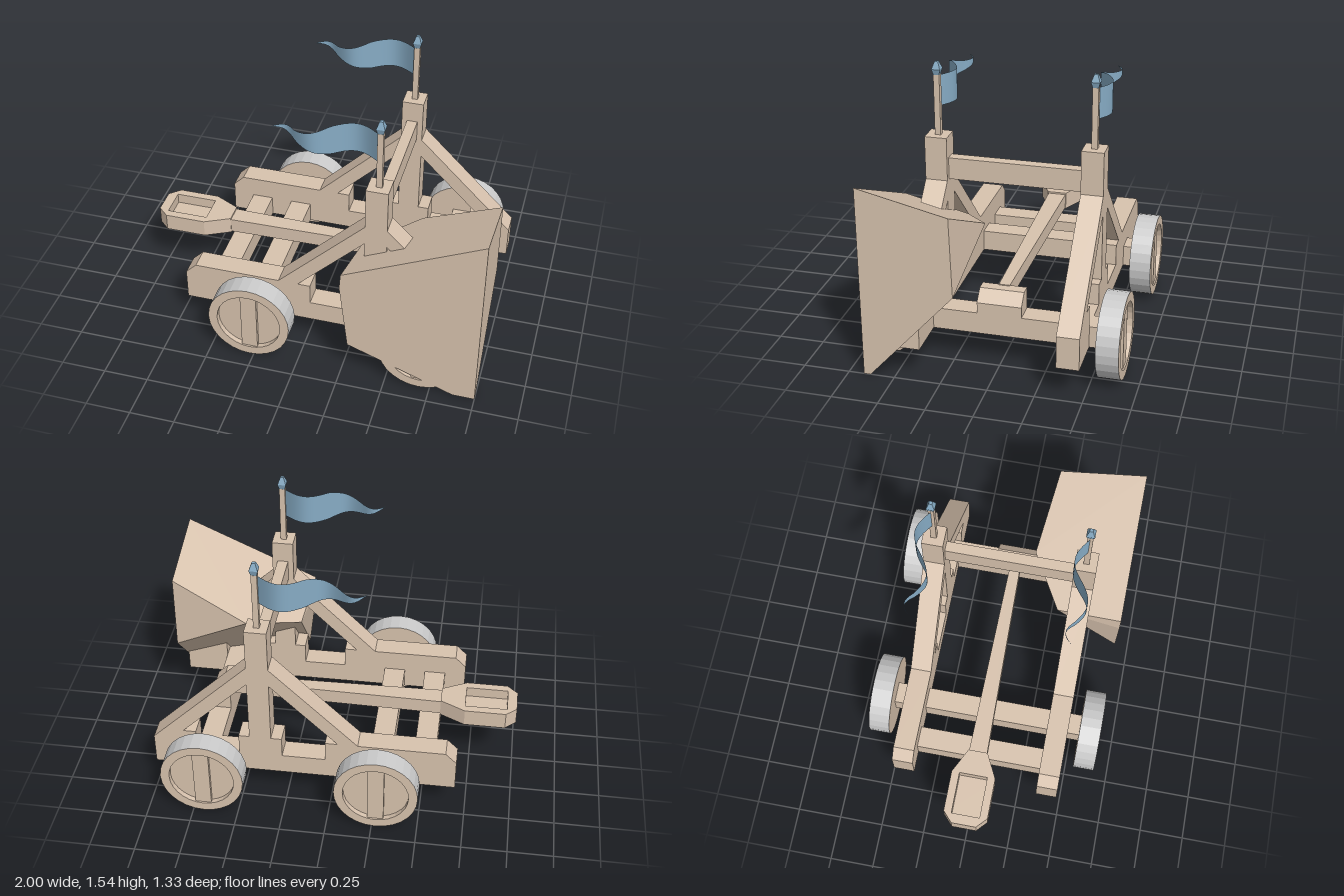
import * as THREE from 'three';
import { ConvexGeometry } from 'three/addons/geometries/ConvexGeometry.js';

const mat = (color) => new THREE.MeshStandardMaterial({ color, flatShading: true });
const wood = mat(0xd8c3ae), blue = mat(0x86abc4), iron = mat(0xcccccc);
const cloth = new THREE.MeshStandardMaterial({ color: 0x86abc4, side: THREE.DoubleSide });

const vecs = (pts) => pts.map(([x, y]) => new THREE.Vector2(x, y));

function add(parent, name, geometry, material = wood) {
  const mesh = new THREE.Mesh(geometry, material);
  mesh.name = name;
  parent.add(mesh);
  return mesh;
}

// Box given by its minimum and maximum on each axis
function box(parent, name, [x0, x1], [y0, y1], [z0, z1]) {
  const mesh = add(parent, name, new THREE.BoxGeometry(x1 - x0, y1 - y0, z1 - z0));
  mesh.position.set((x0 + x1) / 2, (y0 + y1) / 2, (z0 + z1) / 2);
  return mesh;
}

function plate(outline, holes, depth) {
  const shape = new THREE.Shape(vecs(outline));
  shape.holes = holes.map((h) => new THREE.Path(vecs(h)));
  return new THREE.ExtrudeGeometry(shape, { depth, bevelEnabled: false });
}

// Side frame: beam, post and two diagonal braces cut from one plate, symmetric about the post
const POST = 0.39;
function sideFrame() {
  const mirror = (pts) => pts.map(([x, y]) => [2 * POST - x, y]).reverse();
  const hole = [[0.33, 0.79], [-0.04, 0.42], [0.03, 0.42], [0.03, 0.3], [0.27, 0.3], [0.27, 0.42], [0.33, 0.42]];
  const outline = [
    [-0.69, 0.18], [0.99, 0.18], [0.99, 0.36], [0.45, 0.9], [0.45, 1.14],
    [0.33, 1.14], [0.33, 0.9], [-0.15, 0.42], [-0.63, 0.42], [-0.69, 0.36],
  ];
  return plate(outline, [hole, mirror(hole)], 0.12);
}

// Wheel with a recessed face and a plank across it, axis along +z
function wheel() {
  const g = new THREE.Group();
  const R = 0.23, r = 0.18, w = 0.12, sides = 28;
  const lathe = (pts) => new THREE.LatheGeometry(vecs(pts), sides).rotateX(Math.PI / 2);
  add(g, 'wheelTread', lathe([[R, 0], [R, w]]), iron);
  add(g, 'wheelBack', lathe([[0, 0], [R, 0]]));
  add(g, 'wheelFace', lathe([[R, w], [r, w], [r, w - 0.03], [0, w - 0.03]]));
  box(g, 'wheelPlank', [-0.045, 0.045], [-0.176, 0.176], [w - 0.04, w - 0.008]);
  return g;
}

// Swallow-shaped pennant rippling in z
function pennant() {
  const n = 36, pos = [], index = [];
  const lerp = THREE.MathUtils.mapLinear;
  for (let i = 0; i <= n; i++) {
    const x = 0.375 - (0.565 * i) / n;
    let top = 1.46, bottom = 1.29;
    if (x < -0.06) {
      top = 1.4;
      bottom = lerp(x, -0.06, -0.19, 1.34, 1.4);
    } else if (x < 0.13) {
      top = lerp(x, 0.13, -0.06, 1.46, 1.4);
      bottom = lerp(x, 0.13, -0.06, 1.29, 1.34);
    }
    let z;
    if (x > 0.13) z = -0.06 * Math.sin((Math.PI * (0.375 - x)) / 0.245);
    else if (x > -0.06) z = 0.045 * Math.sin((Math.PI * (0.13 - x)) / 0.19);
    else z = -0.04 * Math.sin((Math.PI * (-0.06 - x)) / 0.13);
    pos.push(x, top, z, x, bottom, z);
    if (i < n) {
      const a = 2 * i;
      index.push(a, a + 2, a + 1, a + 1, a + 2, a + 3);
    }
  }
  const geo = new THREE.BufferGeometry();
  geo.setAttribute('position', new THREE.Float32BufferAttribute(pos, 3));
  geo.setIndex(index);
  geo.computeVertexNormals();
  return geo;
}

export function createModel() {
  const root = new THREE.Group();
  root.name = 'catapult';

  for (const s of [1, -1]) {
    const side = s > 0 ? 'left' : 'right';
    const zc = s * 0.42;
    add(root, side + 'Frame', sideFrame()).position.z = zc - 0.06;

    // Flagpole, finial and pennant on each post
    box(root, side + 'Flagpole', [POST - 0.016, POST + 0.016], [1.14, 1.47], [zc - 0.016, zc + 0.016]);
    const finial = new THREE.LatheGeometry(
      vecs([[0, 1.46], [0.018, 1.46], [0.033, 1.5], [0.013, 1.54], [0, 1.54]]), 4);
    finial.rotateY(Math.PI / 4);
    add(root, side + 'Finial', finial, blue).position.set(POST, 0, zc);
    add(root, side + 'Pennant', pennant(), cloth).position.z = zc;

    for (const x of [-0.27, 0.69]) {
      const w = wheel();
      w.name = side + (x < 0 ? 'RearWheel' : 'FrontWheel');
      w.position.set(x, 0.24, s * 0.545);
      if (s < 0) w.rotation.y = Math.PI;
      root.add(w);
    }
  }

  // Axles and cross members
  for (const x of [-0.27, 0.69]) box(root, 'axle', [x - 0.06, x + 0.06], [0.18, 0.3], [-0.55, 0.55]);
  box(root, 'rearCrossBeam', [-0.57, -0.45], [0.18, 0.3], [-0.36, 0.36]);
  box(root, 'topCrossbar', [0.36, 0.42], [0.9, 1.02], [-0.36, 0.36]);

  // Pivot block with a chamfered edge
  const block = plate([[0.63, 0.3], [0.75, 0.3], [0.75, 0.36], [0.69, 0.42], [0.63, 0.42]], [], 0.24);
  add(root, 'pivotBlock', block).position.z = -0.12;

  // Throwing arm: tapered beam and hollow scoop, drawn in plan and laid flat
  const layFlat = (geo, y) => geo.rotateX(-Math.PI / 2).translate(0, y, 0);
  const armPlan = [[-0.58, -0.052], [0.64, -0.03], [0.64, 0.03], [-0.58, 0.052]];
  add(root, 'throwingArm', layFlat(plate(armPlan, [], 0.085), 0.34));
  const scoop = [
    [-1, -0.07], [-0.94, -0.125], [-0.71, -0.125], [-0.57, -0.055],
    [-0.57, 0.055], [-0.71, 0.125], [-0.94, 0.125], [-1, 0.07],
  ];
  const hollow = [[-0.945, -0.08], [-0.71, -0.08], [-0.71, 0.08], [-0.945, 0.08]];
  add(root, 'scoopFloor', layFlat(plate(scoop, [], 0.04), 0.335));
  add(root, 'scoopRim', layFlat(plate(scoop, [hollow], 0.06), 0.375));

  // Large faceted block over the front left corner
  const corners = [
    [1, 0, 0.667], [1, 1.06, 0.667], [0.25, 0.71, 0.667], [0.243, 0.62, 0.667],
    [0.29, 0.225, 0.667], [0.88, 0, 0.667], [1, 0, 0.63], [1, 0.51, 0.17],
    [1, 0.948, 0.183], [0.57, 0.735, 0.12], [0.28, 0.64, 0.3],
  ].map((p) => new THREE.Vector3(...p));
  add(root, 'cornerBlock', new ConvexGeometry(corners));

  return root;
}
